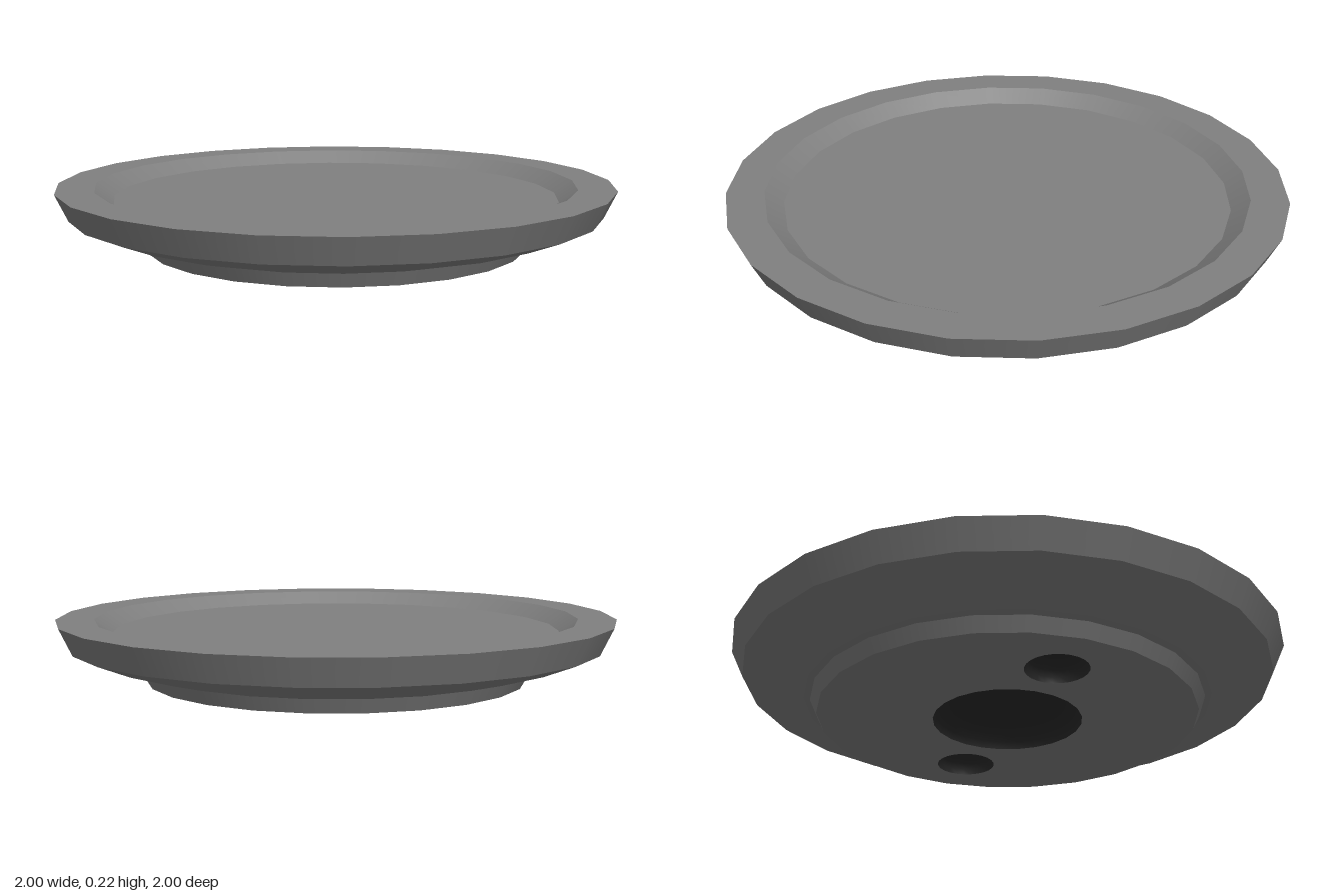
import * as THREE from 'three';

const SEGMENTS = 24;

export function createModel() {
  const dish = new THREE.Group();
  dish.name = 'dish';
  const grey = new THREE.MeshStandardMaterial({ color: 0x808080 });
  grey.name = 'grey';
  const black = new THREE.MeshStandardMaterial({ color: 0x2a2a2a });
  black.name = 'black';

  const add = (name, geometry, material) => {
    const mesh = new THREE.Mesh(geometry, material);
    mesh.name = name;
    dish.add(mesh);
    return mesh;
  };
  const lathe = (points) =>
    new THREE.LatheGeometry(points.map(([r, y]) => new THREE.Vector2(r, y)), SEGMENTS);

  // Each band is smooth around the dish, with sharp edges between bands
  const bands = {
    foot: [[0.685, 0], [0.71, 0.05]],
    underside: [[0.71, 0.05], [0.84, 0.084], [0.955, 0.13]],
    outerWall: [[0.955, 0.13], [1, 0.225]],
    rim: [[1, 0.225], [0.865, 0.225]],
    innerWall: [[0.865, 0.225], [0.8, 0.18]],
    floor: [[0.8, 0.18], [0, 0.18]],
  };
  for (const [name, points] of Object.entries(bands)) add(name, lathe(points), grey);

  // Base plate, pierced by one large and two small recesses
  const recesses = [
    ['centreRecess', 0, 0.27, 0.1],
    ['leftRecess', 0.456, 0.11, 0.08],
    ['rightRecess', -0.456, 0.11, 0.08],
  ];
  const circle = (shape, x, r) => {
    const points = [];
    for (let i = 0; i < SEGMENTS; i++) {
      const a = (i / SEGMENTS) * Math.PI * 2;
      points.push(new THREE.Vector2(x + r * Math.cos(a), r * Math.sin(a)));
    }
    return shape.setFromPoints(points);
  };
  const base = circle(new THREE.Shape(), 0, 0.685);
  for (const [, x, r] of recesses) base.holes.push(circle(new THREE.Path(), x, r));
  add('base', new THREE.ShapeGeometry(base).rotateX(Math.PI / 2), grey);

  // Dark bowls sunk into the base, facing down
  for (const [name, x, r, depth] of recesses) {
    const profile = [];
    for (let i = 0; i <= 6; i++) {
      const a = (i / 6) * Math.PI / 2;
      profile.push([r * Math.sin(a), depth * Math.cos(a)]);
    }
    add(name, lathe(profile), black).position.x = x;
  }
  return dish;
}
